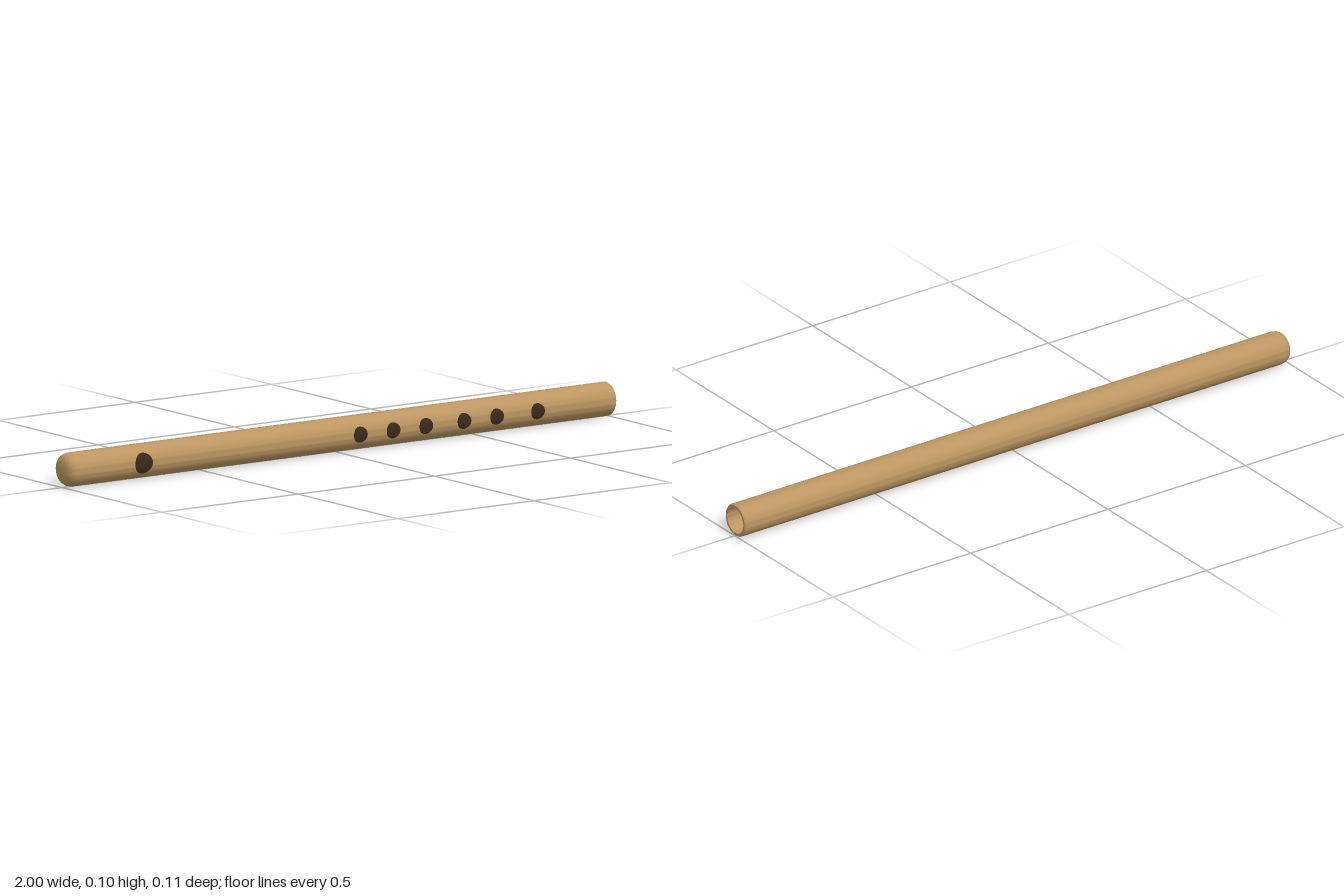
import * as THREE from 'three';
import { toCreasedNormals } from 'three/addons/utils/BufferGeometryUtils.js';

const RADIUS = 0.051;

// Thin disc wrapped onto the tube, with a short skirt down to its surface
function holeGeometry(r) {
  const geo = new THREE.RingGeometry(0, r * 1.25, 28, 5);
  const p = geo.attributes.position;
  for (let i = 0; i < p.count; i++) {
    const d = Math.hypot(p.getX(i), p.getY(i));
    const skirt = d > r * 1.1;
    const k = skirt ? r / d : 1;
    const x = p.getX(i) * k, y = p.getY(i) * k;
    const R = skirt ? RADIUS - 0.003 : RADIUS + 0.003;
    p.setXYZ(i, x, y, Math.sqrt(R * R - y * y));
  }
  return toCreasedNormals(geo, 0.8);
}

export function createModel() {
  const bamboo = new THREE.MeshStandardMaterial({ color: 0xbc9662 });
  bamboo.name = 'bamboo';
  const dark = new THREE.MeshStandardMaterial({ color: 0x3a2a1b });
  dark.name = 'darkHole';

  const flute = new THREE.Group();
  flute.name = 'flute';
  flute.position.set(0, RADIUS + 0.0005, -0.0015);

  // Tube: rounded closed end, straight wall, bevelled open rim, hollow bore
  const profile = [
    [0, -1], [0.02, -0.999], [0.034, -0.996], [0.043, -0.99], [0.048, -0.982],
    [RADIUS, -0.968], [RADIUS, 0.996], [0.048, 1], [0.041, 1],
    [0.041, -0.94], [0.038, -0.955], [0.03, -0.968], [0.016, -0.977], [0, -0.98],
  ].map(([r, x]) => new THREE.Vector2(r, x));
  const tubeGeo = toCreasedNormals(new THREE.LatheGeometry(profile, 48), 0.6);
  tubeGeo.rotateZ(-Math.PI / 2);
  const tube = new THREE.Mesh(tubeGeo, bamboo);
  tube.name = 'tube';
  flute.add(tube);

  // Blowing hole and six finger holes along the front
  const addHole = (name, x, geo) => {
    const hole = new THREE.Mesh(geo, dark);
    hole.name = name;
    hole.position.x = x;
    flute.add(hole);
  };
  addHole('blowHole', -0.735, holeGeometry(0.031));
  const finger = holeGeometry(0.024);
  [0.06, 0.18, 0.3, 0.44, 0.56, 0.71].forEach((x, i) => addHole(`fingerHole${i + 1}`, x, finger));

  const model = new THREE.Group();
  model.name = 'model';
  model.add(flute);
  return model;
}
